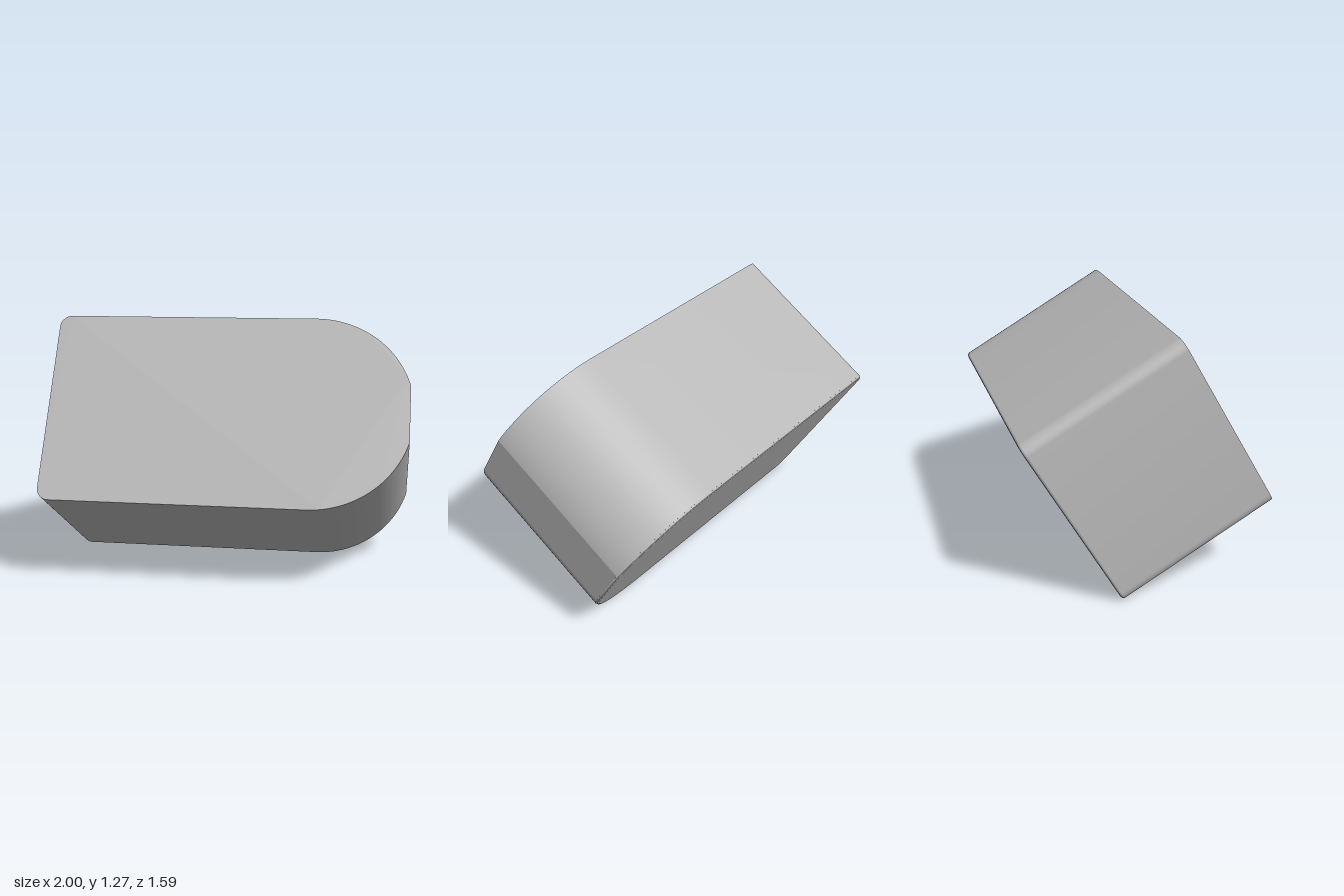
import * as THREE from 'three';
import { toCreasedNormals } from 'three/addons/utils/BufferGeometryUtils.js';

const LENGTH = 1.77, HEIGHT = 0.976, DEPTH = 0.856, CORNER = 0.06, RIM = 0.012;

// Block outline: small rounded corners on one end, a half round cut by a short flat on the other
function outline() {
  const r = HEIGHT / 2, cx = 1.303, c = CORNER;
  const a = Math.acos((LENGTH - cx) / r);
  const s = new THREE.Shape();
  s.moveTo(c, -HEIGHT);
  s.absarc(cx, -r, r, -Math.PI / 2, -a, false);
  s.absarc(cx, -r, r, a, Math.PI / 2, false);
  s.absarc(c, -c, c, Math.PI / 2, Math.PI, false);
  s.absarc(c, c - HEIGHT, c, Math.PI, Math.PI * 1.5, false);
  return s;
}

function part(name, options, z, material) {
  const geometry = new THREE.ExtrudeGeometry(outline(), { curveSegments: 32, ...options });
  geometry.translate(0, 0, z);
  const mesh = new THREE.Mesh(toCreasedNormals(geometry, 0.3), material);
  mesh.name = name;
  return mesh;
}

export function createModel() {
  const grey = new THREE.MeshStandardMaterial({ color: 0xb8b8b8 });
  grey.name = 'grey';

  // Block tilted back and turned, placed by its upper left front corner
  const block = new THREE.Group();
  block.name = 'tiltedBlock';
  block.rotation.set(-Math.PI / 6, THREE.MathUtils.degToRad(-17.8), 0, 'YXZ');
  block.position.set(-0.86, 1.275, -0.11);

  const bodyDepth = DEPTH - RIM;
  block.add(part('body', { depth: bodyDepth, bevelEnabled: false }, -bodyDepth, grey));

  // Chamfered rim around the back face; its front half is inside the body
  block.add(part('backRim', {
    depth: 0.02, bevelEnabled: true, bevelSegments: 2,
    bevelThickness: RIM, bevelSize: RIM, bevelOffset: -RIM - 0.001,
  }, -bodyDepth, grey));

  const model = new THREE.Group();
  model.name = 'model';
  model.add(block);
  return model;
}
